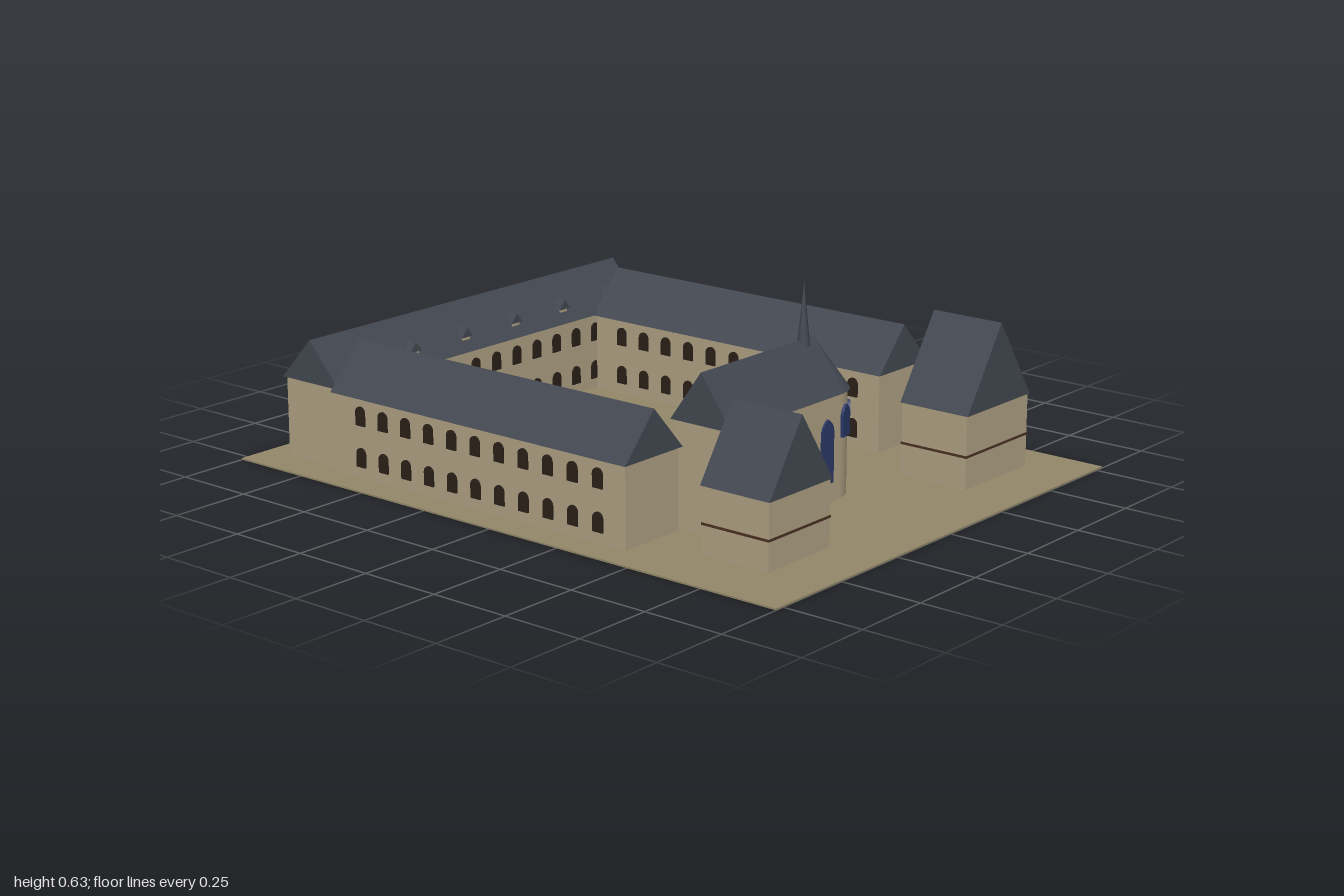
import * as THREE from 'three';

const mat = (color) => new THREE.MeshStandardMaterial({ color });
const WALL = mat(0xb0a183), ROOF = mat(0x434851), GROUND = mat(0x94886a);
const DARK = mat(0x2a2018), BLUE = mat(0x2a3866), BAND = mat(0x4a3222);

function add(parent, name, geometry, material, x = 0, y = 0, z = 0, ry = 0) {
  const mesh = new THREE.Mesh(geometry, material);
  mesh.name = name;
  mesh.position.set(x, y, z);
  mesh.rotation.y = ry;
  parent.add(mesh);
  return mesh;
}

function group(parent, name) {
  const g = new THREE.Group();
  g.name = name;
  parent.add(g);
  return g;
}

// Box standing on its base
const block = (w, h, d) => new THREE.BoxGeometry(w, h, d).translate(0, h / 2, 0);

// Closed gable roof with its ridge along z
function gable(width, height, length) {
  const s = new THREE.Shape();
  s.moveTo(-width / 2, 0);
  s.lineTo(width / 2, 0);
  s.lineTo(0, height);
  s.closePath();
  return new THREE.ExtrudeGeometry(s, { depth: length, bevelEnabled: false }).translate(0, 0, -length / 2);
}

// Window panel facing +z, with a round or a pointed head
function windowPanel(w, h, depth, pointed) {
  const r = w / 2, s = new THREE.Shape();
  s.moveTo(-r, 0);
  s.lineTo(r, 0);
  if (pointed) {
    s.lineTo(r, h - w * 0.7);
    s.quadraticCurveTo(r * 0.9, h - w * 0.25, 0, h);
    s.quadraticCurveTo(-r * 0.9, h - w * 0.25, -r, h - w * 0.7);
  } else {
    s.lineTo(r, h - r);
    s.absarc(0, h - r, r, 0, Math.PI, false);
  }
  s.closePath();
  return new THREE.ExtrudeGeometry(s, { depth, bevelEnabled: false, curveSegments: 6 }).translate(0, 0, -depth / 2);
}

const smallWindow = windowPanel(0.036, 0.058, 0.01, false);

// Two-storey wing, built along its local z, with windows on both long sides
function wing(parent, name, { length, width, eave, ridge, count, step, shift = 0 }) {
  const g = group(parent, name);
  add(g, 'wingWalls', block(width, eave, length), WALL);
  add(g, 'wingRoof', gable(width + 0.02, ridge - eave, length + 0.015), ROOF, 0, eave, 0);
  for (const side of [-1, 1])
    for (const y of [0.038, 0.163])
      for (let i = 0; i < count; i++)
        add(g, 'wingWindow', smallWindow, DARK, side * width / 2, y,
          shift + (i - (count - 1) / 2) * step, side * Math.PI / 2);
  return g;
}

// Gatehouse pavilion with a steep roof and a string course
function pavilion(parent, name, x, width, eave, ridge, bandY) {
  const g = group(parent, name);
  g.position.set(x, 0, 0.708);
  add(g, 'pavilionWalls', block(width, eave, 0.225), WALL);
  add(g, 'pavilionRoof', gable(width + 0.008, ridge - eave, 0.234), ROOF, 0, eave, 0);
  add(g, 'stringCourse', block(width + 0.004, 0.007, 0.229), BAND, 0, bandY, 0);
}

export function createModel() {
  const model = new THREE.Group();
  model.name = 'abbeyCourt';
  add(model, 'ground', block(1.56, 0.005, 2), GROUND);

  // Side wings
  for (const side of [-1, 1]) {
    const g = wing(model, side < 0 ? 'rightWing' : 'leftWing',
      { length: 1.11, width: 0.222, eave: 0.245, ridge: 0.38, count: 11, step: 0.0907, shift: 0.005 });
    g.position.set(side * 0.577, 0, -0.137);
  }

  // Back wing, turned across the court, with dormers on both slopes
  const back = wing(model, 'backWing',
    { length: 1.335, width: 0.216, eave: 0.248, ridge: 0.378, count: 13, step: 0.092 });
  back.position.set(0, 0, -0.805);
  back.rotation.y = Math.PI / 2;
  const dormerRoof = gable(0.05, 0.03, 0.055);
  const dormerBody = block(0.032, 0.03, 0.045);
  for (const side of [-1, 1])
    for (let i = 0; i < 6; i++) {
      const x = (i - 2.5) * 0.222;
      add(model, 'dormerBody', dormerBody, WALL, x, 0.26, -0.805 + side * 0.068);
      add(model, 'dormerRoof', dormerRoof, ROOF, x, 0.288, -0.805 + side * 0.068);
    }

  // Chapel nave
  const chapel = group(model, 'chapel');
  chapel.position.set(0, 0, 0.487);
  const apseX = 0.045;
  add(chapel, 'naveWalls', block(0.495, 0.315, 0.2), WALL, -0.2025);
  add(chapel, 'naveRoof', gable(0.214, 0.15, 0.505), ROOF, -0.2025, 0.315, 0, Math.PI / 2);
  const tallWindow = windowPanel(0.055, 0.19, 0.012, true);
  for (const side of [-1, 1])
    for (let i = 0; i < 4; i++)
      add(chapel, 'naveWindow', tallWindow, BLUE, -0.382 + i * 0.121, 0.063, side * 0.1, side < 0 ? Math.PI : 0);

  // Rounded apse with a conical roof and a ring of windows
  add(chapel, 'apseWall', new THREE.CylinderGeometry(0.1, 0.1, 0.315, 24), WALL, apseX, 0.1575);
  add(chapel, 'apseRoof', new THREE.ConeGeometry(0.106, 0.15, 24), ROOF, apseX, 0.39);
  const apseWindow = windowPanel(0.044, 0.095, 0.014, true);
  for (let i = 0; i < 7; i++) {
    const a = Math.PI / 2 + (i - 3) * Math.PI / 7;
    add(chapel, 'apseWindow', apseWindow, BLUE, apseX + 0.1 * Math.sin(a), 0.185, 0.1 * Math.cos(a), a);
  }

  // Spire
  add(chapel, 'spire', new THREE.ConeGeometry(0.019, 0.185, 8), ROOF, 0, 0.5375);

  // Front pavilions
  pavilion(model, 'rightPavilion', -0.447, 0.268, 0.2, 0.41, 0.09);
  pavilion(model, 'leftPavilion', 0.489, 0.312, 0.225, 0.47, 0.1);

  return model;
}
